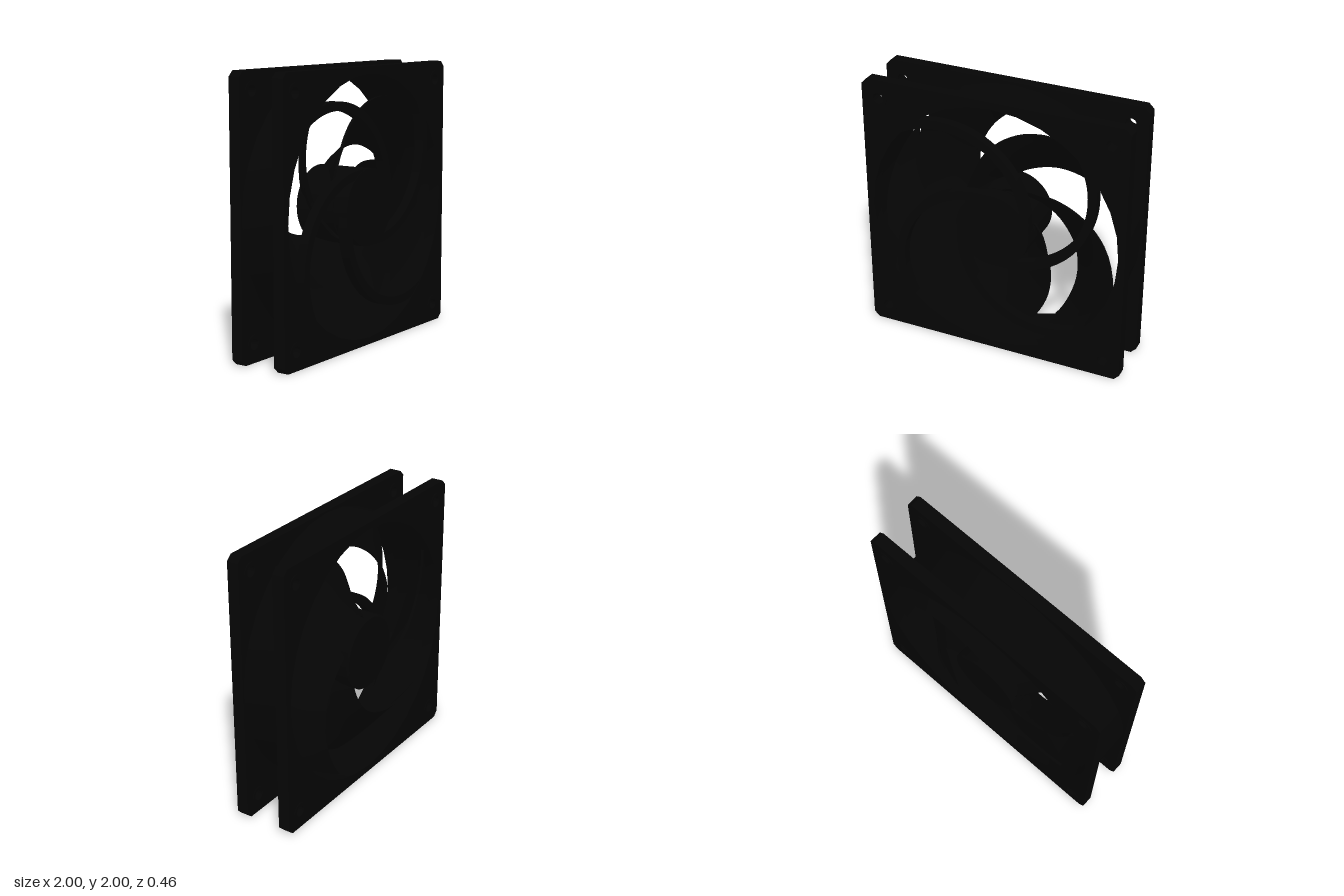
import * as THREE from 'three';
import { toCreasedNormals } from 'three/addons/utils/BufferGeometryUtils.js';

const black = new THREE.MeshStandardMaterial({ color: 0x050505 });
black.name = 'matte black plastic';

const rad = THREE.MathUtils.degToRad;
const lerp = THREE.MathUtils.lerp;

function circlePath(x, y, r) {
  return new THREE.Path().absarc(x, y, r, 0, Math.PI * 2, false);
}

function slab(shape, z0, z1, curveSegments) {
  const g = new THREE.ExtrudeGeometry(shape, { depth: z1 - z0, bevelEnabled: false, curveSegments });
  g.translate(0, 0, z0);
  return toCreasedNormals(g, 0.6);
}

// Solid of revolution around z from (radius, z) points
function turned(points, segments) {
  const g = new THREE.LatheGeometry(points.map(([r, z]) => new THREE.Vector2(r, z)), segments);
  g.rotateX(Math.PI / 2);
  return toCreasedNormals(g, 0.6);
}

// Swept, pitched blade: closed chord sections stacked along the radius
function bladeGeometry() {
  // radius, trailing-edge angle, leading-edge angle
  const spine = new THREE.CatmullRomCurve3([
    [0.25, 92, 166], [0.29, 83, 155], [0.41, 63, 120], [0.54, 47.5, 102.5],
    [0.67, 32, 87.5], [0.8, 17, 72], [0.94, 3, 51],
  ].map((p) => new THREE.Vector3(...p)));
  const rows = 24, n = 12, loop = 2 * (n + 1);
  const pos = [], idx = [];
  for (let j = 0; j <= rows + 1; j++) {
    const s = spine.getPoint(Math.min(j, rows) / rows);
    const half = j > rows ? 0 : 0.011; // last row closes the tip
    for (let i = 0; i < loop; i++) {
      const front = i <= n;
      const u = (front ? i : loop - 1 - i) / n;
      const a = rad(lerp(s.y, s.z, u));
      const r = s.x * lerp(0.985, 1, u);
      const z = lerp(-0.18, 0.1, u) + 0.03 * Math.sin(Math.PI * u);
      pos.push(r * Math.cos(a), r * Math.sin(a), z + (front ? half : -half));
    }
  }
  for (let j = 0; j <= rows; j++) {
    for (let i = 0; i < loop; i++) {
      const k = (i + 1) % loop;
      const a = j * loop + i, b = j * loop + k, c = a + loop, d = b + loop;
      idx.push(a, c, b, b, c, d);
    }
  }
  const g = new THREE.BufferGeometry();
  g.setAttribute('position', new THREE.Float32BufferAttribute(pos, 3));
  g.setIndex(idx);
  return toCreasedNormals(g, 0.7);
}

export function createModel() {
  const model = new THREE.Group();
  model.name = 'coolingFan';
  const add = (name, geometry, parent = model) => {
    const m = new THREE.Mesh(geometry, black);
    m.name = name;
    parent.add(m);
    return m;
  };

  // Square flanges with chamfered corners, airway and screw holes
  const c = 0.96, h = 0.87, hy = 0.865;
  const corners = [[1, 1], [-1, 1], [-1, -1], [1, -1]];
  const plate = new THREE.Shape([
    [1, -c], [1, c], [c, 1], [-c, 1], [-1, c], [-1, -c], [-c, -1], [c, -1],
  ].map((p) => new THREE.Vector2(...p)));
  plate.holes.push(circlePath(0, 0, 0.95));
  for (const [x, y] of corners) plate.holes.push(circlePath(x * h, y * hy, 0.04));
  add('frontFlange', slab(plate, 0.137, 0.224, 16));
  add('backFlange', slab(plate, -0.224, -0.137, 16));

  // Raised rings around the screw holes
  const pad = new THREE.Shape().absarc(0, 0, 0.065, 0, Math.PI * 2, false);
  pad.holes.push(circlePath(0, 0, 0.04));
  const padGeometry = slab(pad, -0.0475, 0.0475, 16);
  for (const [x, y] of corners) {
    for (const side of [1, -1]) {
      add('screwPad', padGeometry).position.set(x * h, y * hy, side * 0.1805);
    }
  }

  // Duct between the flanges
  const duct = new THREE.Shape().absarc(0, 0, 0.985, 0, Math.PI * 2, false);
  duct.holes.push(circlePath(0, 0, 0.95));
  add('duct', slab(duct, -0.137, 0.137, 16));

  // Motor mount and its four curved struts
  add('motorMount', turned([[0, 0.11], [0.28, 0.11], [0.28, 0.224], [0, 0.224]], 48));
  const arc = new THREE.Shape();
  arc.absarc(0.096, 0.4, 0.68, rad(-104), rad(30), false);
  arc.absarc(0.096, 0.4, 0.617, rad(30), rad(-104), true);
  const strutGeometry = slab(arc, 0.15, 0.222, 32);
  for (let i = 0; i < 4; i++) add('strut', strutGeometry).rotation.z = (i * Math.PI) / 2;

  // Rotor: hub and five blades
  const rotor = new THREE.Group();
  rotor.name = 'rotor';
  model.add(rotor);
  add('rotorHub', turned([[0, -0.225], [0.265, -0.225], [0.278, -0.213], [0.278, 0.1], [0, 0.1]], 48), rotor);
  const blade = bladeGeometry();
  for (let i = 0; i < 5; i++) add('blade', blade, rotor).rotation.z = rad(72 * i);

  model.position.y = 1;
  const root = new THREE.Group();
  root.name = 'fan';
  root.add(model);
  return root;
}
